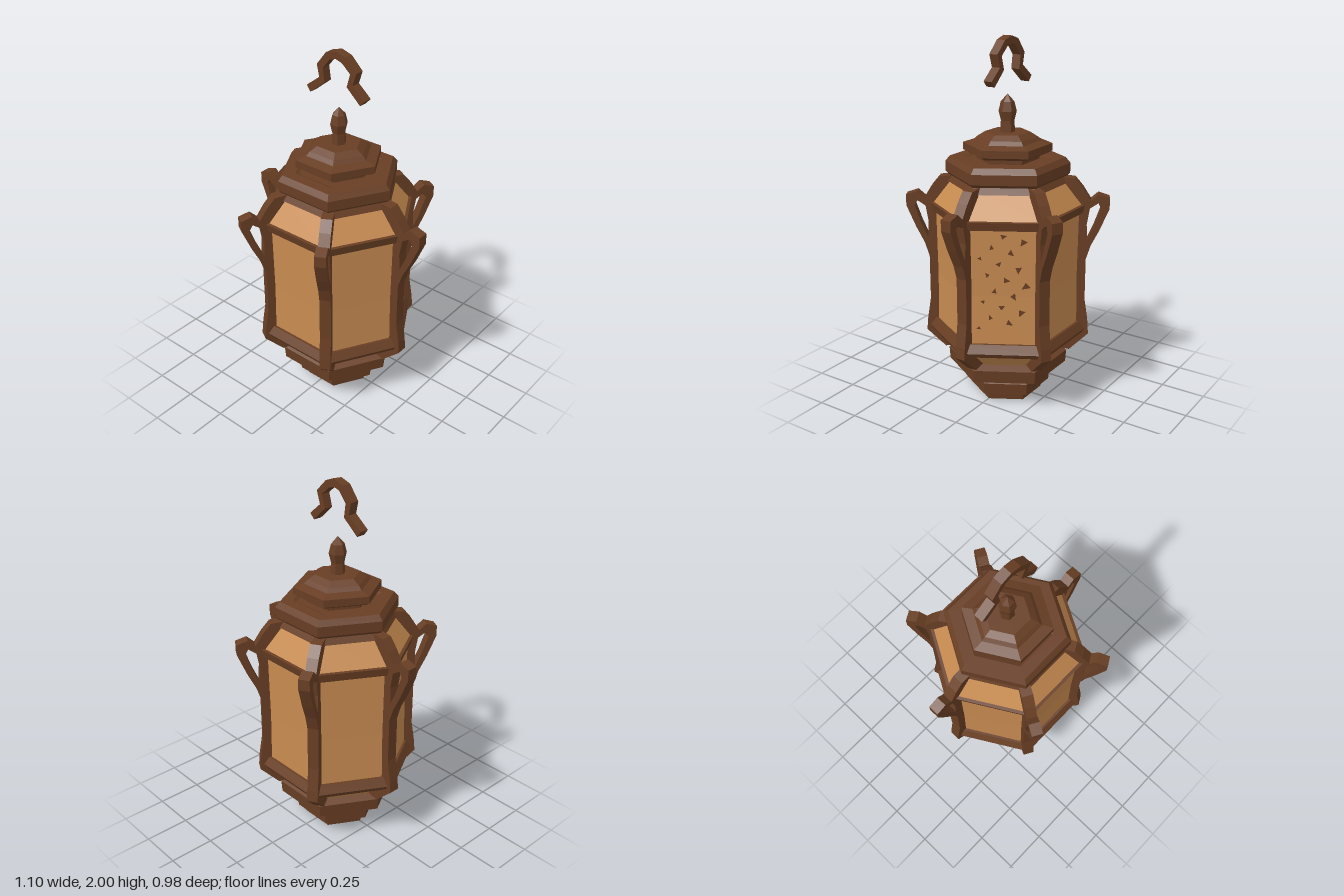
import * as THREE from 'three';

const wood = new THREE.MeshStandardMaterial({ color: 0x683e24 });
wood.name = 'dark wood';
const paper = new THREE.MeshStandardMaterial({ color: 0xc68a50 });
paper.name = 'amber panel';

// Gives every facet its own normal
function facet(geometry) {
  const g = geometry.index ? geometry.toNonIndexed() : geometry;
  g.computeVertexNormals();
  return g;
}

const toPoints = (list) => list.map(([x, y]) => new THREE.Vector2(x, y));

// Hexagonal solid from [radius, height] pairs, listed bottom to top
function hexSolid(name, profile, material, sides = 6) {
  const g = new THREE.LatheGeometry(toPoints(profile), sides, Math.PI / 2);
  const mesh = new THREE.Mesh(facet(g), material);
  mesh.name = name;
  return mesh;
}

// Flat outline given thickness, centred on z = 0
function slab(shape, depth) {
  const g = new THREE.ExtrudeGeometry(shape, { depth, bevelEnabled: false });
  return g.translate(0, 0, -depth / 2);
}

// Outline of a bent strip of even width along a path
function strip(path, width) {
  const p = toPoints(path);
  const left = [], right = [];
  p.forEach((point, i) => {
    const a = p[Math.max(i - 1, 0)], b = p[Math.min(i + 1, p.length - 1)];
    const d = b.clone().sub(a).normalize();
    const n = new THREE.Vector2(-d.y, d.x).multiplyScalar(width / 2);
    left.push(point.clone().add(n));
    right.unshift(point.clone().sub(n));
  });
  return new THREE.Shape([...left, ...right]);
}

export function createModel() {
  const lantern = new THREE.Group();
  lantern.name = 'lantern';

  // Stepped foot
  lantern.add(hexSolid('foot', [[0, 0], [0.19, 0], [0.195, 0.045], [0.235, 0.05], [0.24, 0.115],
    [0.215, 0.13], [0.18, 0.132], [0.18, 0.152], [0, 0.152]], wood));
  lantern.add(hexSolid('lowerRim', [[0, 0.15], [0.29, 0.15], [0.33, 0.165], [0.335, 0.235],
    [0.28, 0.26], [0, 0.26]], wood));

  // Panels: lower flare, tall sides, shoulder
  lantern.add(hexSolid('lowerPanels', [[0.29, 0.255], [0.425, 0.39]], paper));
  lantern.add(hexSolid('sidePanels', [[0.405, 0.4], [0.4, 0.7], [0.405, 1.09]], paper));
  lantern.add(hexSolid('shoulderPanels', [[0.425, 1.1], [0.31, 1.25]], paper));

  // Rails above and below the side panels
  lantern.add(hexSolid('lowerRail', [[0.39, 0.345], [0.435, 0.36], [0.45, 0.385], [0.42, 0.43],
    [0.39, 0.43]], wood));
  lantern.add(hexSolid('upperRail', [[0.39, 1.065], [0.425, 1.065], [0.435, 1.11], [0.39, 1.115]], wood));
  lantern.add(hexSolid('shoulderTrim', [[0.31, 1.225], [0.335, 1.23], [0.31, 1.27], [0, 1.27]], wood));

  // Corner ribs with looped handles
  const ribShape = new THREE.Shape(toPoints([[0.28, 0.27], [0.35, 0.255], [0.455, 0.355], [0.45, 0.42],
    [0.43, 0.55], [0.43, 0.8], [0.455, 0.88], [0.5, 0.97], [0.55, 1.09], [0.55, 1.15], [0.49, 1.17],
    [0.45, 1.135], [0.41, 1.2], [0.365, 1.255], [0.28, 1.265], [0.33, 1.2], [0.385, 1.1],
    [0.38, 0.42], [0.36, 0.36]]));
  ribShape.holes.push(new THREE.Path(toPoints([[0.435, 0.91], [0.47, 0.99], [0.505, 1.09], [0.49, 1.12],
    [0.445, 1.09], [0.43, 1.0]])));
  const ribGeometry = slab(ribShape, 0.06);
  const ribs = new THREE.Group();
  ribs.name = 'cornerRibs';
  for (let i = 0; i < 6; i++) {
    const rib = new THREE.Mesh(ribGeometry, wood);
    rib.name = 'cornerRib';
    rib.rotation.y = i * Math.PI / 3;
    ribs.add(rib);
  }
  lantern.add(ribs);

  // Stepped cap
  lantern.add(hexSolid('capRim', [[0, 1.265], [0.32, 1.265], [0.335, 1.28], [0.335, 1.335],
    [0.31, 1.365], [0.24, 1.365], [0.22, 1.355], [0, 1.355]], wood));
  lantern.add(hexSolid('capTop', [[0.17, 1.35], [0.17, 1.385], [0.21, 1.385], [0.238, 1.4], [0.238, 1.44],
    [0.18, 1.455], [0.16, 1.475], [0.12, 1.5], [0, 1.5]], wood));
  lantern.add(hexSolid('finial', [[0.04, 1.49], [0.036, 1.56], [0.048, 1.61], [0.036, 1.66],
    [0, 1.7]], wood));

  // Hanging hook, floating above the finial
  const hookPath = [[-0.18, 1.76], [-0.09, 1.83], [-0.103, 1.9], [-0.05, 1.965], [0, 1.98],
    [0.05, 1.965], [0.11, 1.91], [0.088, 1.84], [0.168, 1.77]];
  const hook = new THREE.Mesh(slab(strip(hookPath, 0.04), 0.05), wood);
  hook.name = 'hook';
  lantern.add(hook);

  // Small dark flecks on the back panel of the right-hand (+x) side
  const flecks = new THREE.Group();
  flecks.name = 'panelFlecks';
  const chip = slab(new THREE.Shape(toPoints([[-0.02, -0.006], [0.018, -0.012], [0.006, 0.016]])), 0.006);
  for (let i = 0; i < 18; i++) {
    const fleck = new THREE.Mesh(chip, wood);
    fleck.name = 'fleck';
    fleck.position.set(((i * 0.618) % 1 - 0.5) * 0.26, 0.52 + i * 0.03, 0.35);
    fleck.rotation.z = i * 2.4;
    fleck.scale.setScalar(0.6 + (i * 0.37) % 0.6);
    flecks.add(fleck);
  }
  flecks.rotation.y = Math.PI * 2 / 3;
  lantern.add(flecks);

  return lantern;
}
